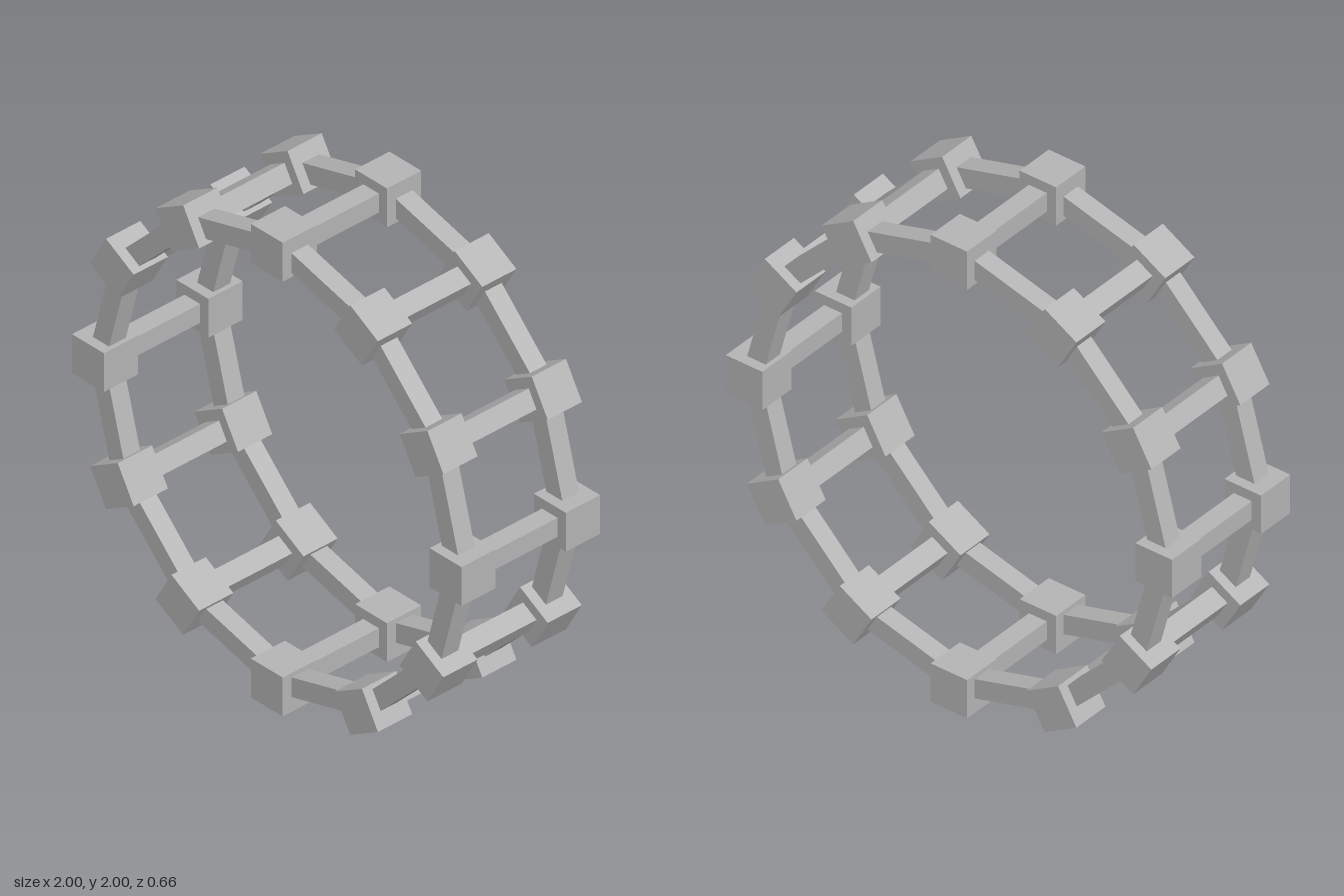
import * as THREE from 'three';

const COUNT = 12;      // joints per ring
const RADIUS = 0.918;  // ring centre to joint centre
const HALF_GAP = 0.25; // ring offset along z
const CUBE = 0.164;
const BAR = 0.08;

export function createModel() {
  const model = new THREE.Group();
  model.name = 'segmentedRingFrame';
  const grey = new THREE.MeshStandardMaterial({ color: 0xb4b4b4 });
  grey.name = 'grey';

  const step = (Math.PI * 2) / COUNT;
  const chord = 2 * RADIUS * Math.sin(step / 2);
  const chordRadius = RADIUS * Math.cos(step / 2);
  const cubeGeo = new THREE.BoxGeometry(CUBE, CUBE, CUBE);
  const ringBarGeo = new THREE.BoxGeometry(BAR, chord - CUBE * 0.8, BAR);
  const crossBarGeo = new THREE.BoxGeometry(BAR, BAR, 2 * HALF_GAP - CUBE);

  // Place a part on the circle, turned to face outwards
  const place = (name, geometry, radius, angle, z) => {
    const mesh = new THREE.Mesh(geometry, grey);
    mesh.name = name;
    mesh.position.set(Math.cos(angle) * radius, 1 + Math.sin(angle) * radius, z);
    mesh.rotation.z = angle;
    model.add(mesh);
  };

  for (let i = 0; i < COUNT; i++) {
    const a = i * step;
    // Two rings of cubes joined by straight bars
    for (const z of [-HALF_GAP, HALF_GAP]) {
      place('jointCube', cubeGeo, RADIUS, a, z);
      place('ringBar', ringBarGeo, chordRadius, a + step / 2, z);
    }
    // Bar linking the front and back rings
    place('crossBar', crossBarGeo, RADIUS, a, 0);
  }
  return model;
}
